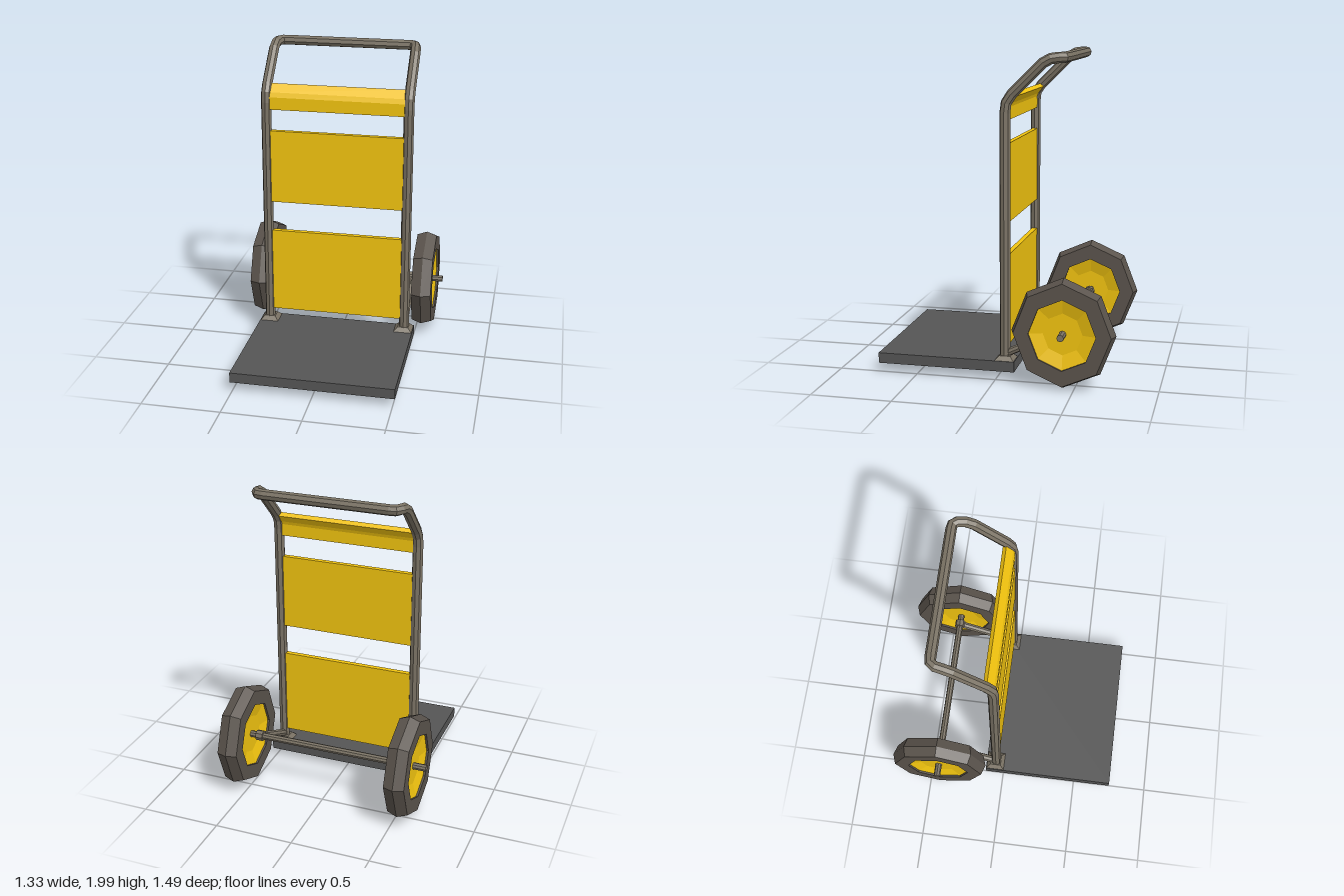
import * as THREE from 'three';

const mat = (color) => new THREE.MeshStandardMaterial({ color, flatShading: true });

// Polyline whose samples land exactly on its corners
class Polyline extends THREE.Curve {
  constructor(points) { super(); this.points = points; }
  getPoint(t) {
    const n = this.points.length - 1;
    const i = Math.min(Math.floor(t * n + 1e-6), n - 1);
    return this.points[i].clone().lerp(this.points[i + 1], t * n - i);
  }
  getPointAt(t) { return this.getPoint(t); }
  getTangentAt(t) {
    const n = this.points.length - 1, i = Math.round(t * n), p = this.points;
    const dir = (a) => p[a + 1].clone().sub(p[a]).normalize();
    return dir(Math.max(i - 1, 0)).add(dir(Math.min(i, n - 1))).normalize();
  }
}

export function createModel() {
  const group = new THREE.Group();
  const steel = mat(0x7a7264), yellow = mat(0xf2c40f), rubber = mat(0x5a534c), dark = mat(0x555555);

  const add = (name, geometry, material, x = 0, y = 0, z = 0) => {
    const mesh = new THREE.Mesh(geometry, material);
    mesh.name = name;
    mesh.position.set(x, y, z);
    group.add(mesh);
    return mesh;
  };

  // Load plate
  add('loadPlate', new THREE.BoxGeometry(1.03, 0.065, 0.865), dark, 0, 0.0975, 0.3125);

  // Bent tube frame: one half, mirrored across x
  const half = [
    [0.455, 0.13, -0.052], [0.455, 1.64, -0.052], [0.455, 1.7, -0.06], [0.455, 1.75, -0.093],
    [0.455, 1.935, -0.28], [0.452, 1.96, -0.325], [0.445, 1.966, -0.37], [0.425, 1.966, -0.398],
    [0.39, 1.966, -0.402],
  ].map((p) => new THREE.Vector3(...p));
  const mirrored = half.map((p) => new THREE.Vector3(-p.x, p.y, p.z)).reverse();
  const path = [...half, ...mirrored];
  add('frameTube', new THREE.TubeGeometry(new Polyline(path), path.length - 1, 0.033, 8), steel);

  // Back panels: side profile in (z, y), extruded across the width
  const panel = (name, profile) => {
    const shape = new THREE.Shape(profile.map(([z, y]) => new THREE.Vector2(-z, y)));
    const geometry = new THREE.ExtrudeGeometry(shape, { depth: 0.86, bevelEnabled: false });
    geometry.translate(0, 0, -0.43).rotateY(Math.PI / 2);
    add(name, geometry, yellow);
  };
  const flat = (y0, y1) => [[-0.036, y0], [-0.036, y1], [-0.068, y1], [-0.068, y0]];
  panel('lowerPanel', flat(0.21, 0.775));
  panel('middlePanel', flat(0.975, 1.455));
  panel('upperPanel', [
    [-0.036, 1.595], [-0.036, 1.675], [-0.048, 1.705], [-0.088, 1.755],
    [-0.11, 1.735], [-0.075, 1.69], [-0.068, 1.67], [-0.068, 1.595],
  ]);

  // Axle
  const axleY = 0.345, axleZ = -0.43;
  add('axle', new THREE.CylinderGeometry(0.022, 0.022, 1.33, 8).rotateZ(Math.PI / 2), steel, 0, axleY, axleZ);

  // Wheel profiles as (radius, offset along the axle)
  const lathe = (profile) => new THREE.LatheGeometry(profile.map((p) => new THREE.Vector2(...p)), 8)
    .rotateZ(Math.PI / 2).scale(1, 1.07, 1);
  const tyre = lathe([
    [0.203, -0.045], [0.203, -0.065], [0.295, -0.065], [0.317, 0],
    [0.295, 0.065], [0.203, 0.065], [0.203, 0.045],
  ]);
  const hub = lathe([
    [0, -0.03], [0.12, -0.03], [0.203, -0.052], [0.203, 0.052], [0.12, 0.03], [0, 0.03],
  ]);

  for (const [side, s] of [['left', 1], ['right', -1]]) {
    add(side + 'Tyre', tyre, rubber, s * 0.55, axleY, axleZ);
    add(side + 'WheelHub', hub, yellow, s * 0.55, axleY, axleZ);

    // Collar and strut holding the axle
    add(side + 'AxleCollar', new THREE.CylinderGeometry(0.034, 0.034, 0.045, 8).rotateZ(Math.PI / 2),
      steel, s * 0.455, axleY, axleZ);
    const strut = new THREE.LineCurve3(
      new THREE.Vector3(s * 0.455, 0.165, -0.055), new THREE.Vector3(s * 0.455, axleY, axleZ));
    add(side + 'AxleStrut', new THREE.TubeGeometry(strut, 1, 0.024, 8), steel);

    // Tapered foot where the tube meets the plate
    const foot = new THREE.CylinderGeometry(0.035 * Math.SQRT2, 0.06 * Math.SQRT2, 0.027, 4).rotateY(Math.PI / 4);
    add(side + 'TubeFoot', foot, steel, s * 0.452, 0.1425, -0.056);
  }
  return group;
}
